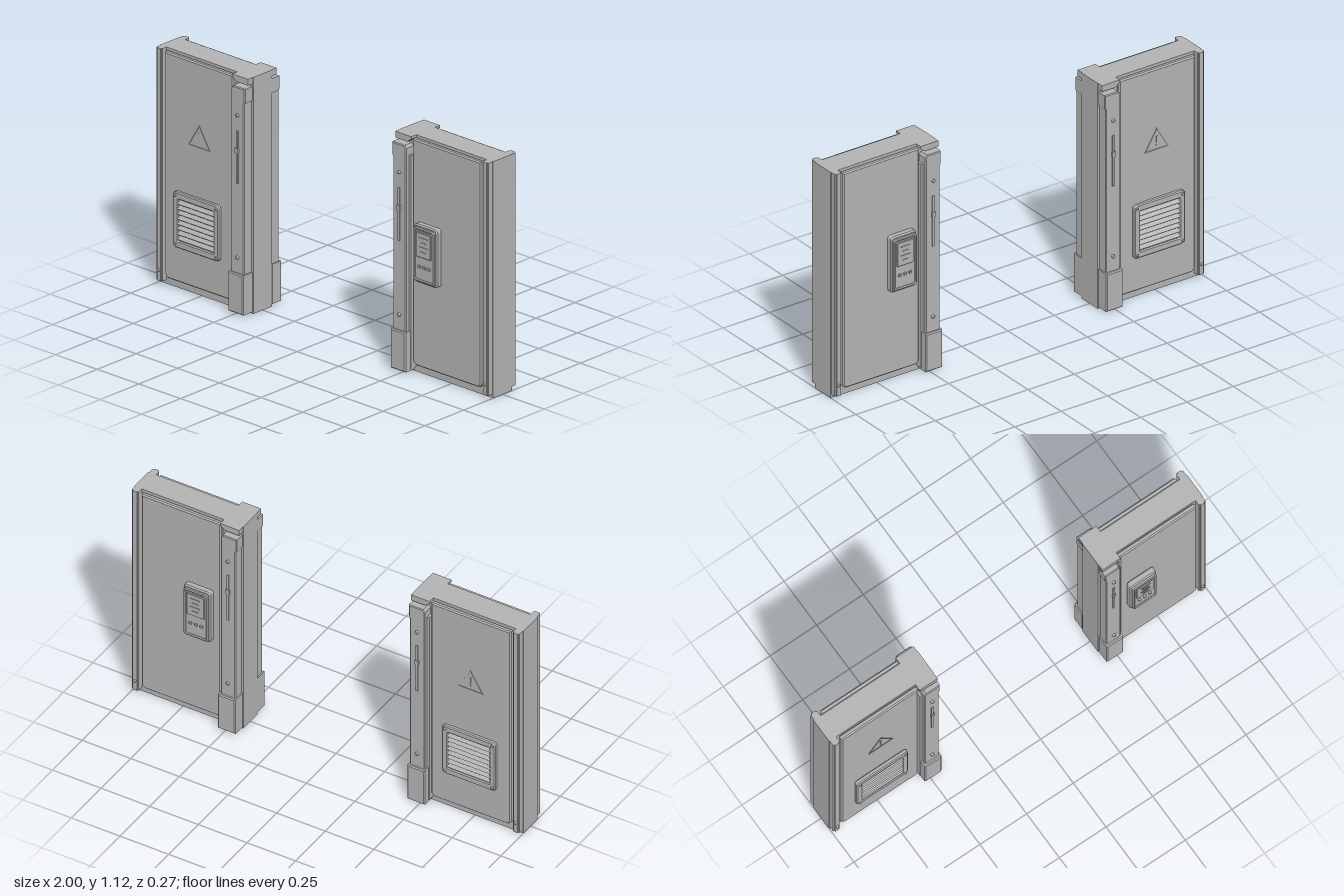
import * as THREE from 'three';

const grey = new THREE.MeshStandardMaterial({ color: 0xb2b2b2 });
grey.name = 'door grey';

function add(parent, name, geometry, x = 0, y = 0, z = 0) {
  const mesh = new THREE.Mesh(geometry, grey);
  mesh.name = name;
  mesh.position.set(x, y, z);
  parent.add(mesh);
  return mesh;
}

// Box given by its limits
function box(parent, name, x0, x1, y0, y1, z0, z1) {
  return add(parent, name, new THREE.BoxGeometry(Math.abs(x1 - x0), y1 - y0, z1 - z0),
    (x0 + x1) / 2, (y0 + y1) / 2, (z0 + z1) / 2);
}

function roundedRect(w, h, r, target = new THREE.Shape()) {
  const x = w / 2, y = h / 2;
  target.moveTo(-x + r, -y);
  target.lineTo(x - r, -y);
  target.quadraticCurveTo(x, -y, x, -y + r);
  target.lineTo(x, y - r);
  target.quadraticCurveTo(x, y, x - r, y);
  target.lineTo(-x + r, y);
  target.quadraticCurveTo(-x, y, -x, y - r);
  target.lineTo(-x, -y + r);
  target.quadraticCurveTo(-x, -y, -x + r, -y);
  return target;
}

// Extrusion from z = 0 to depth, with its bevel kept inside the outline
function extrude(shape, depth, bevel = 0) {
  const g = new THREE.ExtrudeGeometry(shape, {
    depth: depth - 2 * bevel, bevelEnabled: bevel > 0, bevelSize: bevel,
    bevelThickness: bevel, bevelOffset: -bevel, bevelSegments: 1, curveSegments: 4,
  });
  return g.translate(0, 0, bevel);
}

function polygon(points, d) {
  return new THREE.Shape(points.map(([x, y]) => new THREE.Vector2(x * d, y)));
}

function screw(parent, x, y, z, r = 0.008, h = 0.008) {
  const g = new THREE.CylinderGeometry(r * 0.75, r, h, 10).rotateX(Math.PI / 2);
  add(parent, 'screw', g, x, y, z + h / 2);
}

// Panel, edge strip and post shared by all four door faces
function doorFace(g, d) {
  const panel = polygon([[0.54, 1.11], [0.54, 0.055], [0.555, 0.04], [0.935, 0.04],
    [0.95, 0.055], [0.95, 1.11]], d);
  add(g, 'facePanel', extrude(panel, 0.025, 0.006), 0, 0, 0.06);

  // Outer edge strip with a raised lip
  box(g, 'edgeStrip', d * 0.962, d * 0.997, 0.018, 1.12, 0.059, 0.086);
  box(g, 'edgeLip', d * 0.968, d * 0.99, 0.018, 1.12, 0.08, 0.092);
  screw(g, d * 0.979, 0.07, 0.092);

  // Inner post, with a stepped head
  box(g, 'postFlange', d * 0.52, d * 0.536, 0.02, 1.03, 0.059, 0.092);
  const post = polygon([[0.448, 0.19], [0.525, 0.19], [0.525, 1.065], [0.515, 1.078],
    [0.442, 1.078], [0.442, 1.015], [0.448, 1.005]], d);
  add(g, 'post', extrude(post, 0.054, 0.004), 0, 0, 0.059);
  for (const y of [0.27, 0.944]) screw(g, d * 0.486, y, 0.113, 0.009, 0.01);
  box(g, 'postSlot', d * 0.481, d * 0.491, 0.62, 0.87, 0.112, 0.118);
  box(g, 'postCatch', d * 0.477, d * 0.495, 0.765, 0.79, 0.112, 0.121);

  // Foot block and top cap
  const foot = polygon([[0.442, 0.01], [0.532, 0.01], [0.532, 0.198], [0.442, 0.198]], d);
  add(g, 'postFoot', extrude(foot, 0.067, 0.005), 0, 0, 0.059);
  const cap = polygon([[0.442, 1.09], [0.515, 1.09], [0.538, 1.108], [0.538, 1.12],
    [0.442, 1.12]], d);
  add(g, 'postCap', extrude(cap, 0.033), 0, 0, 0.059);
}

// Louvred vent and warning triangle
function ventDetails(g, d) {
  const vent = new THREE.Group();
  vent.name = 'vent';
  vent.position.set(d * 0.745, 0.343, 0.084);
  g.add(vent);
  const frame = roundedRect(0.276, 0.264, 0.02);
  frame.holes.push(roundedRect(0.214, 0.196, 0.005, new THREE.Path()));
  add(vent, 'ventFrame', extrude(frame, 0.022, 0.005));
  for (let i = 0; i < 8; i++) {
    const slat = add(vent, 'ventSlat', new THREE.BoxGeometry(0.222, 0.021, 0.005),
      0, -0.084 + i * 0.024, 0.014);
    slat.rotation.x = -0.75;
  }
  for (const x of [-0.122, 0.122]) {
    for (const y of [-0.115, 0.115]) screw(vent, x, y, 0.022, 0.007, 0.006);
  }

  const sign = new THREE.Group();
  sign.name = 'warningTriangle';
  sign.position.set(d * 0.742, 0.709, 0.085);
  g.add(sign);
  const tri = polygon([[-0.066, 0], [0.066, 0], [0, 0.108]], 1);
  tri.holes.push(new THREE.Path([[-0.06, 0.0035], [0, 0.101], [0.06, 0.0035]]
    .map(([x, y]) => new THREE.Vector2(x, y))));
  add(sign, 'triangleRim', extrude(tri, 0.003));
  box(sign, 'warningBar', -0.003, 0.003, 0.036, 0.068, -0.001, 0.002);
  box(sign, 'warningDot', -0.003, 0.003, 0.02, 0.027, -0.001, 0.002);
}

// Wall keypad with a screen and three buttons
function keypadDetails(g, d) {
  const pad = new THREE.Group();
  pad.name = 'keypad';
  pad.position.set(d * 0.645, 0.592, 0.083);
  g.add(pad);
  add(pad, 'keypadBase', extrude(roundedRect(0.14, 0.276, 0.018), 0.034, 0.006));
  const bezel = roundedRect(0.126, 0.256, 0.014);
  bezel.holes.push(roundedRect(0.106, 0.232, 0.01, new THREE.Path()));
  add(pad, 'keypadBezel', extrude(bezel, 0.017, 0.004), 0, 0, 0.029);
  add(pad, 'keypadFace', extrude(roundedRect(0.108, 0.234, 0.01), 0.008), 0, 0, 0.031);
  add(pad, 'screen', extrude(roundedRect(0.09, 0.118, 0.005), 0.009, 0.003), 0, 0.05, 0.038);
  for (let i = 0; i < 4; i++) {
    const w = i % 2 ? 0.03 : 0.05;
    add(pad, 'screenLine', new THREE.BoxGeometry(w, 0.004, 0.004), 0, 0.085 - i * 0.022, 0.048);
  }
  for (const x of [-0.028, 0, 0.028]) {
    add(pad, 'button', new THREE.BoxGeometry(0.014, 0.01, 0.01), x, -0.055, 0.042);
  }
}

export function createModel() {
  const model = new THREE.Group();
  model.name = 'doorPair';
  for (const side of [-1, 1]) {
    const door = new THREE.Group();
    door.name = side < 0 ? 'rightDoor' : 'leftDoor';
    model.add(door);
    box(door, 'doorCore', side * 0.44, side, 0, 1.12, -0.06, 0.06);
    for (const front of [1, -1]) {
      const face = new THREE.Group();
      face.name = front > 0 ? 'frontFace' : 'backFace';
      if (front < 0) face.rotation.y = Math.PI;
      doorFace(face, side * front);
      (side < 0 ? ventDetails : keypadDetails)(face, side * front);
      door.add(face);
    }
  }
  return model;
}
